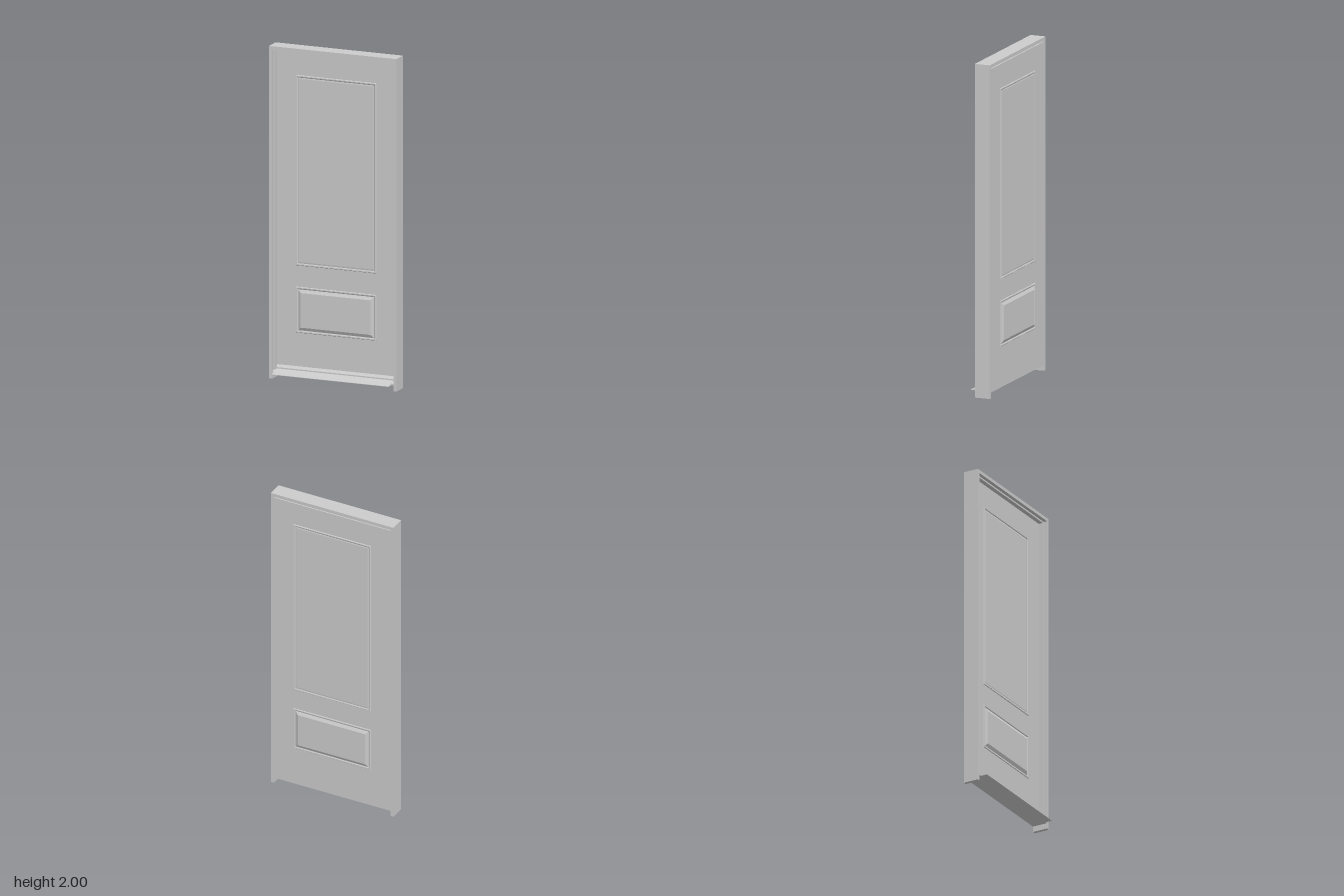
import * as THREE from 'three';

const material = new THREE.MeshStandardMaterial({ color: 0xcccccc, flatShading: true });

function add(parent, name, geometry) {
  const mesh = new THREE.Mesh(geometry, material);
  mesh.name = name;
  parent.add(mesh);
  return mesh;
}

function box(parent, name, x0, x1, y0, y1, z0, z1) {
  const g = new THREE.BoxGeometry(x1 - x0, y1 - y0, z1 - z0);
  g.translate((x0 + x1) / 2, (y0 + y1) / 2, (z0 + z1) / 2);
  return add(parent, name, g);
}

// Two uprights and a head in one piece, open at the bottom
function archFrame(parent, name, outer, inner, top, head, bottom, z0, z1) {
  const shape = new THREE.Shape([
    [-outer, bottom], [-inner, bottom], [-inner, head], [inner, head],
    [inner, bottom], [outer, bottom], [outer, top], [-outer, top],
  ].map(([x, y]) => new THREE.Vector2(x, y)));
  const g = new THREE.ExtrudeGeometry(shape, { depth: z1 - z0, bevelEnabled: false });
  g.translate(0, 0, z0);
  return add(parent, name, g);
}

// Rectangles of growing inset and height joined by sloping faces;
// steps are [inset, height]; the last rectangle is closed if capped
function steppedPanel(w, y0, y1, steps, capped) {
  const pos = [];
  const rings = steps.map(([i, h]) => [
    [-w + i, y0 + i, h], [w - i, y0 + i, h], [w - i, y1 - i, h], [-w + i, y1 - i, h],
  ]);
  const quad = (a, b, c, d) => pos.push(...a, ...b, ...c, ...a, ...c, ...d);
  for (let r = 0; r + 1 < rings.length; r++) {
    for (let k = 0; k < 4; k++) {
      const n = (k + 1) % 4;
      quad(rings[r][k], rings[r][n], rings[r + 1][n], rings[r + 1][k]);
    }
  }
  if (capped) quad(...rings[rings.length - 1]);
  const g = new THREE.BufferGeometry();
  g.setAttribute('position', new THREE.Float32BufferAttribute(pos, 3));
  g.computeVertexNormals();
  return g;
}

// Cross-section given as [z, y], extruded along x
function sideProfile(parent, name, points, halfWidth) {
  const shape = new THREE.Shape(points.map(([z, y]) => new THREE.Vector2(-z, y)));
  const g = new THREE.ExtrudeGeometry(shape, { depth: 2 * halfWidth, bevelEnabled: false });
  g.translate(0, 0, -halfWidth);
  g.rotateY(Math.PI / 2);
  g.scale(1, 1, 1);
  return add(parent, name, g);
}

export function createModel() {
  const model = new THREE.Group();
  model.name = 'door';
  const back = -0.065, front = 0.03, leafFront = -0.02;

  // Frame with an inner stop
  archFrame(model, 'frame', 0.405, 0.385, 2, 1.979, 0, back, front);
  archFrame(model, 'frameStop', 0.386, 0.375, 1.98, 1.969, 0.036, leafFront + 0.001, 0.008);

  // Leaf, flush with the back of the frame
  box(model, 'leaf', -0.384, 0.384, 0.047, 1.974, back, leafFront);

  // Threshold: body between the uprights and a narrower sloping nose
  sideProfile(model, 'sill', [
    [back, 0.035], [front, 0.035], [front, 0.045], [-0.008, 0.054], [back, 0.054],
  ], 0.385);
  sideProfile(model, 'sillNose', [
    [0.02, 0.035], [0.072, 0.035], [0.072, 0.037], [0.02, 0.047],
  ], 0.372);

  // Sloping rain bar at the foot of the leaf
  sideProfile(model, 'weatherBar', [
    [leafFront - 0.002, 0.056], [-0.006, 0.056], [-0.006, 0.063], [leafFront - 0.002, 0.08],
  ], 0.374);

  // Mouldings and raised panel, the same on both faces
  for (const face of ['front', 'back']) {
    const side = new THREE.Group();
    side.name = face + 'Panels';
    const moulding = [[0, 0], [0.003, 0.0035], [0.009, 0.0035], [0.014, 0.0004]];
    add(side, 'upperMoulding', steppedPanel(0.256, 0.684, 1.829, moulding, false));
    add(side, 'upperPanel', steppedPanel(0.242, 0.698, 1.815, [[0, 0.0004], [0.008, 0.002]], true));
    add(side, 'lowerMoulding', steppedPanel(0.256, 0.28, 0.556, moulding, false));
    add(side, 'lowerRaisedPanel', steppedPanel(0.241, 0.295, 0.541,
      [[0, 0], [0.002, 0.001], [0.019, 0.01]], true));
    side.position.z = face === 'front' ? leafFront : back;
    if (face === 'back') side.rotation.y = Math.PI;
    model.add(side);
  }
  return model;
}
